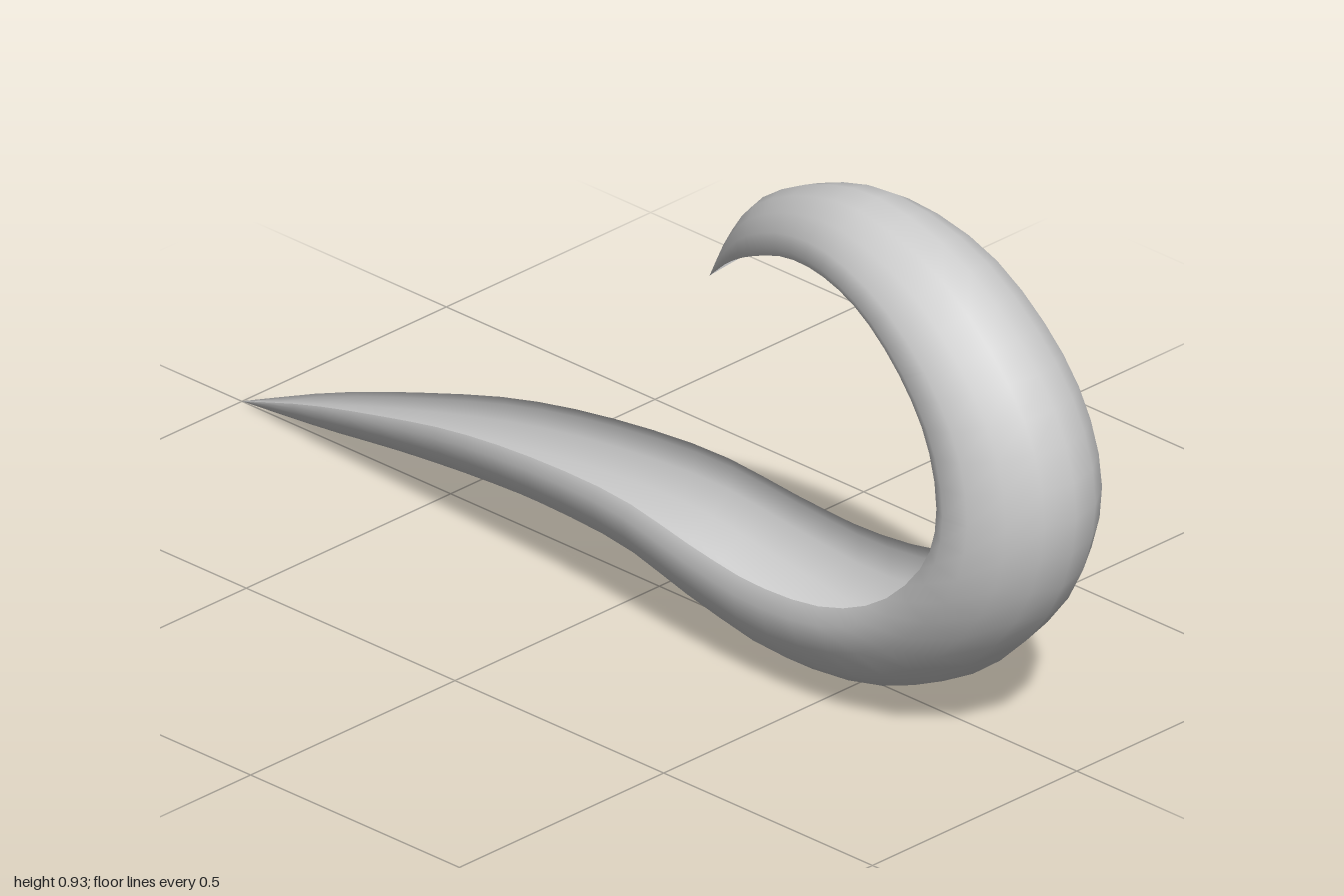
import * as THREE from 'three';

// Stations along the horn: keel x, keel y, rim x, rim y, half width
const STATIONS = [
  [-1, 0.002, -1, 0.002, 0],
  [-0.79, 0.025, -0.81, 0.074, 0.037],
  [-0.59, 0.053, -0.61, 0.134, 0.068],
  [-0.39, 0.073, -0.41, 0.184, 0.094],
  [-0.2, 0.082, -0.2, 0.213, 0.114],
  [0, 0.075, 0.02, 0.222, 0.132],
  [0.17, 0.037, 0.21, 0.199, 0.147],
  [0.4, 0.001, 0.37, 0.187, 0.158],
  [0.62, 0.037, 0.54, 0.207, 0.166],
  [0.8, 0.135, 0.68, 0.27, 0.169],
  [0.94, 0.291, 0.78, 0.375, 0.168],
  [0.998, 0.47, 0.808, 0.48, 0.164],
  [0.967, 0.635, 0.78, 0.6, 0.157],
  [0.87, 0.772, 0.71, 0.7, 0.149],
  [0.72, 0.883, 0.61, 0.778, 0.137],
  [0.53, 0.933, 0.5, 0.808, 0.117],
  [0.38, 0.908, 0.39, 0.8, 0.093],
  [0.25, 0.838, 0.285, 0.758, 0.066],
  [0.177, 0.745, 0.2, 0.707, 0.037],
  [0.12, 0.64, 0.12, 0.64, 0],
];

// Half profile of the thin wall: [fraction of half width, fraction of depth from keel to rim]
const HALF = [[0, 0], [0.385, 0.08], [0.72, 0.28], [0.95, 0.57], [1, 0.84], [0.9, 1]];
const PROFILE = [...HALF.slice(1).reverse().map(([z, d]) => [-z, d]), ...HALF];
const SECTIONS = 48;

const curveOf = (pick) => new THREE.CatmullRomCurve3(
  STATIONS.map((s) => new THREE.Vector3(...pick(s))), false, 'catmullrom', 0.5);

// Sweep the open profile along the stations
function hornGeometry() {
  const keel = curveOf((s) => [s[0], s[1], 0]);
  const rim = curveOf((s) => [s[2], s[3], s[4]]);
  const n = PROFILE.length;
  const pos = [], index = [];
  for (let i = 0; i <= SECTIONS; i++) {
    const k = keel.getPoint(i / SECTIONS), r = rim.getPoint(i / SECTIONS);
    for (const [z, d] of PROFILE) {
      pos.push(k.x + (r.x - k.x) * d, k.y + (r.y - k.y) * d, r.z * z);
    }
  }
  for (let i = 0; i < SECTIONS; i++) {
    for (let j = 0; j < n - 1; j++) {
      const a = i * n + j, b = a + n;
      index.push(a, b, a + 1, b, b + 1, a + 1);
    }
  }
  const geo = new THREE.BufferGeometry();
  geo.setAttribute('position', new THREE.Float32BufferAttribute(pos, 3));
  geo.setIndex(index);
  geo.computeVertexNormals();
  return geo;
}

export function createModel() {
  const group = new THREE.Group();
  group.name = 'curledHorn';
  // Thin open channel with lips curling inward, seen from both sides
  const shell = new THREE.Mesh(hornGeometry(), new THREE.MeshStandardMaterial({
    color: 0xcccccc, side: THREE.DoubleSide,
  }));
  shell.name = 'hornShell';
  group.add(shell);
  return group;
}
